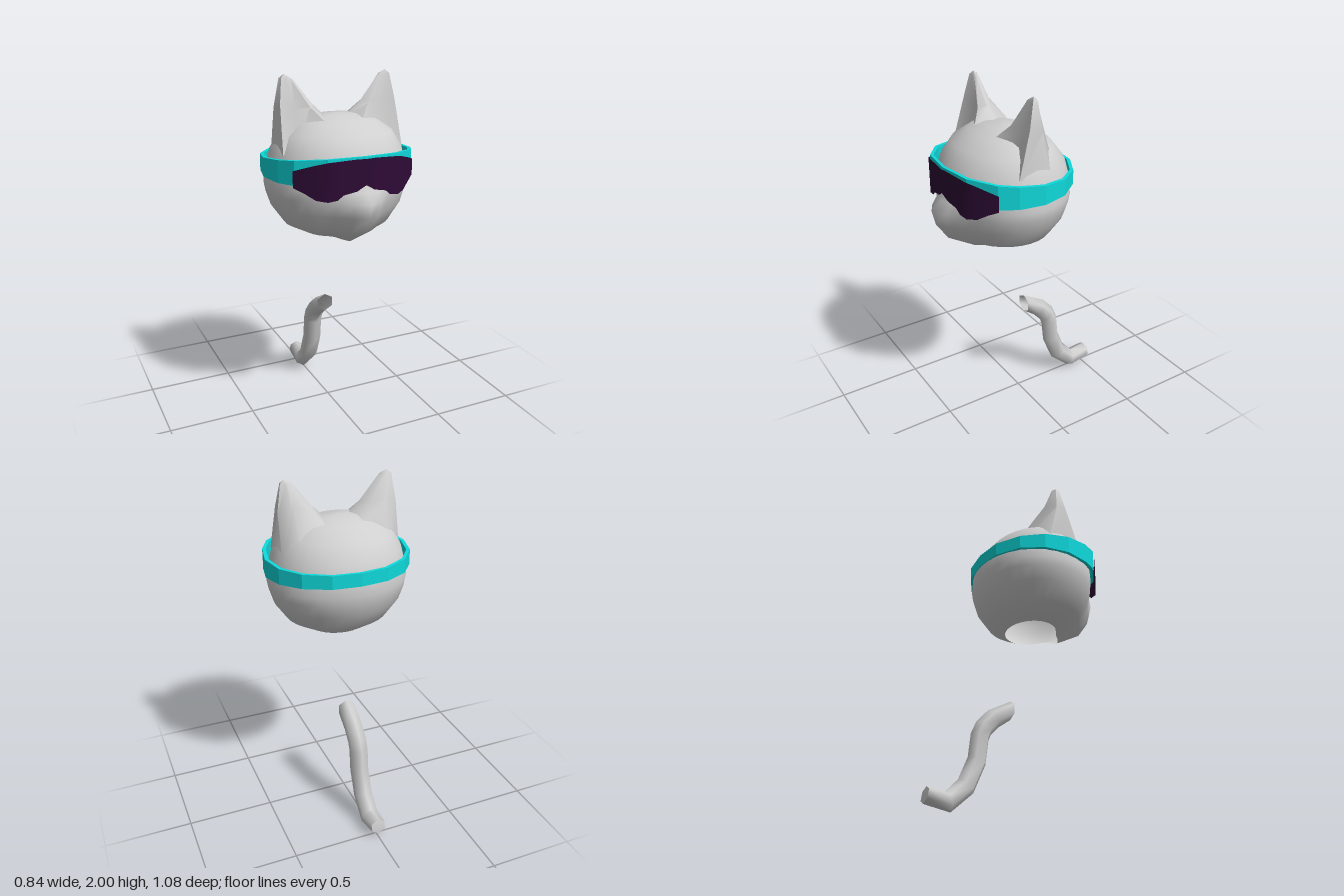
import * as THREE from 'three';
import { toCreasedNormals } from 'three/addons/utils/BufferGeometryUtils.js';

const paint = (name, color) => new THREE.MeshStandardMaterial({ name, color, side: THREE.DoubleSide });

// Skin a stack of equal rings, counter-clockwise seen from the stack's end
function loft(rings, closed = true) {
  const n = rings[0].length, idx = [];
  const cols = closed ? n : n - 1;
  for (let r = 0; r < rings.length - 1; r++) {
    for (let i = 0; i < cols; i++) {
      const j = (i + 1) % n;
      const a = r * n + i, b = r * n + j, c = a + n, d = b + n;
      idx.push(a, b, d, a, d, c);
    }
  }
  const geo = new THREE.BufferGeometry();
  geo.setAttribute('position', new THREE.Float32BufferAttribute(rings.flat(2), 3));
  geo.setIndex(idx);
  geo.computeVertexNormals();
  return geo;
}

// Head: level sections with a muzzle bulge; open at the neck
function headGeometry() {
  const rows = [ // y, half width, back z, front z, muzzle
    [1.13, 0.17, -0.05, 0.24, 0.05], [1.2, 0.3, -0.155, 0.38, 0.07],
    [1.3, 0.37, -0.22, 0.43, 0.09], [1.38, 0.396, -0.243, 0.445, 0.095],
    [1.43, 0.405, -0.25, 0.45, 0.03], [1.5, 0.392, -0.248, 0.453, 0],
    [1.6, 0.368, -0.22, 0.43, 0], [1.69, 0.315, -0.15, 0.36, 0],
    [1.75, 0.225, -0.06, 0.265, 0], [1.78, 0.12, 0.02, 0.18, 0], [1.787, 0.001, 0.099, 0.101, 0],
  ];
  const n = 32;
  return loft(rows.map(([y, w, back, front, muzzle], r) =>
    Array.from({ length: n }, (_, i) => {
      const a = (i / n) * Math.PI * 2;
      const bump = Math.max(0, Math.cos(a)) ** 24;
      const z = (front + back) / 2 + ((front - back) / 2) * Math.cos(a) + muzzle * bump;
      return [w * Math.sin(a), r === 0 ? y - 0.02 * bump : y, z];
    })));
}

// Ear: three seven-point sections with a hollow front, closing to a tip
function earGeometry(side) {
  const rings = [
    [[0.35, 1.6, 0.215], [0.345, 1.57, 0.015], [0.25, 1.66, -0.04], [0.1, 1.75, -0.01],
      [0.04, 1.75, 0.1], [0.09, 1.735, 0.225], [0.24, 1.66, 0.17]],
    [[0.335, 1.85, 0.145], [0.345, 1.83, 0.075], [0.275, 1.86, 0.035], [0.18, 1.845, 0.06],
      [0.14, 1.84, 0.11], [0.17, 1.83, 0.15], [0.25, 1.82, 0.125]],
    [[0.315, 1.98, 0.115], [0.32, 1.98, 0.09], [0.29, 1.985, 0.08], [0.26, 1.978, 0.09],
      [0.25, 1.975, 0.105], [0.26, 1.973, 0.115], [0.29, 1.975, 0.113]],
    Array.from({ length: 7 }, () => [0.295, 2, 0.1]),
  ].map((ring) => {
    const out = ring.map(([x, y, z]) => [x * side, y, z]);
    return side < 0 ? out.reverse() : out;
  });
  return toCreasedNormals(loft(rings), 1.0);
}

// Half outline of the strap from front to back: x, z
const strapHalf = [[0, 0.465], [0.2, 0.435], [0.34, 0.335], [0.392, 0.24], [0.42, 0.1],
  [0.388, -0.04], [0.3, -0.155], [0.16, -0.235], [0, -0.255]];

// Strap: faceted band, taller towards the front
function strapGeometry() {
  const outline = [...strapHalf, ...strapHalf.slice(1, -1).reverse().map(([x, z]) => [-x, z])];
  const ring = (scale, top) => outline.map(([x, z]) => {
    const f = (z + 0.255) / 0.72;
    const y = top ? 1.565 + 0.05 * f * f : 1.49 - 0.035 * f + 0.04 * f ** 8;
    return [x * scale, y, 0.1 + (z - 0.1) * scale];
  });
  const rings = [ring(0.95, false), ring(1, false), ring(1, true), ring(0.95, true), ring(0.95, false)];
  return toCreasedNormals(loft(rings), 0.2);
}

// Visor: thin sheet hugging the strap, with two lobes and a nose notch
function visorGeometry() {
  const half = [ // x, top, bottom
    [0, 1.606, 1.47], [0.05, 1.606, 1.44], [0.12, 1.602, 1.425], [0.15, 1.6, 1.4],
    [0.2, 1.597, 1.393], [0.25, 1.582, 1.4], [0.3, 1.565, 1.435], [0.345, 1.547, 1.46],
  ];
  const cols = [...half.slice(1).reverse().map(([x, t, b]) => [-x, t, b]), ...half];
  const depth = (x) => {
    const k = strapHalf.findIndex((p, i) => Math.abs(x) <= strapHalf[i + 1][0]);
    const [x0, z0] = strapHalf[k], [x1, z1] = strapHalf[k + 1];
    return z0 + ((z1 - z0) * (Math.abs(x) - x0)) / (x1 - x0) + 0.009;
  };
  const row = (k) => cols.map((c) => [c[0] * 1.01, c[k], depth(c[0])]);
  return loft([row(2), row(1)], false);
}

// Tail: six-sided tube along a bent path, open at the upper end
function tailGeometry() {
  const path = [[0.61, -0.042], [0.542, -0.152], [0.478, -0.21], [0.425, -0.232], [0.29, -0.247],
    [0.147, -0.307], [0.055, -0.405], [0.075, -0.532]]; // y, z
  const rings = path.map(([y, z], k) => {
    const p = path[Math.max(k - 1, 0)], q = path[Math.min(k + 1, path.length - 1)];
    const len = Math.hypot(q[0] - p[0], q[1] - p[1]);
    let ty = (q[0] - p[0]) / len, tz = (q[1] - p[1]) / len;
    if (k === 0) { ty = 0; tz = -1; }
    const r = k === path.length - 1 ? 0.047 : 0.055;
    return Array.from({ length: 6 }, (_, i) => {
      const a = (i / 6) * Math.PI * 2;
      return [r * Math.sin(a), y - tz * r * Math.cos(a), z + ty * r * Math.cos(a)];
    });
  });
  rings.push(Array.from({ length: 6 }, () => [0, 0.076, -0.538])); // closed tip
  return toCreasedNormals(loft(rings), 1.15);
}

export function createModel() {
  const model = new THREE.Group();
  model.name = 'catHeadAndTail';
  const fur = paint('greyFur', 0xcfcfcf);
  const teal = paint('tealStrap', 0x10d8da);
  const dark = paint('darkVisor', 0x2d0b35);

  const add = (name, geometry, material) => {
    const mesh = new THREE.Mesh(geometry, material);
    mesh.name = name;
    model.add(mesh);
  };
  add('head', headGeometry(), fur);
  add('leftEar', earGeometry(1), fur);
  add('rightEar', earGeometry(-1), fur);
  add('strap', strapGeometry(), teal);
  add('visor', visorGeometry(), dark);
  add('tail', tailGeometry(), fur);
  return model;
}
